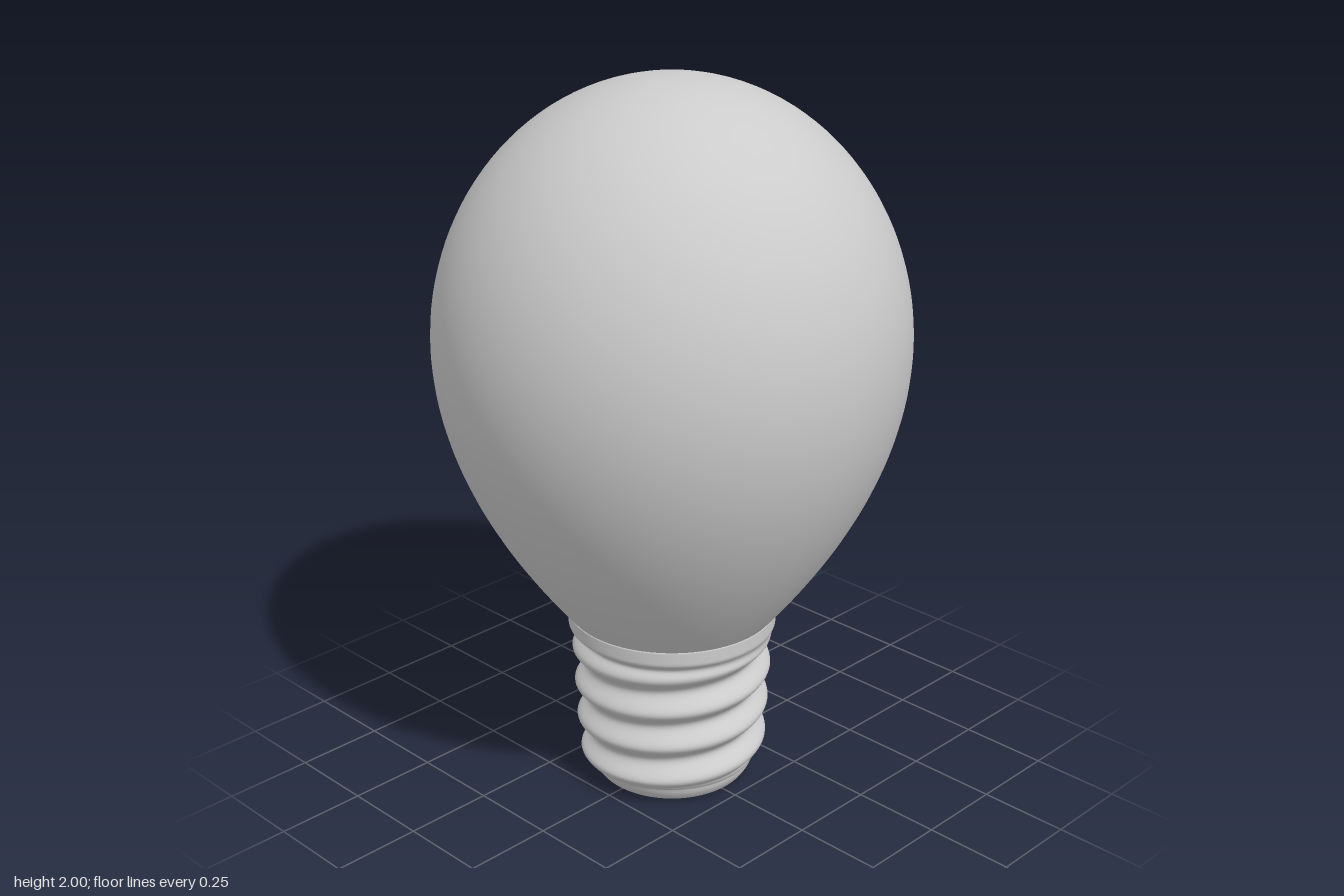
import * as THREE from 'three';
import { mergeVertices } from 'three/addons/utils/BufferGeometryUtils.js';

const V = (x, y) => new THREE.Vector2(x, y);
const material = new THREE.MeshStandardMaterial({ color: 0xcccccc, side: THREE.DoubleSide });

// Glass envelope: tapering neck blending into an elliptical dome
function bulbGeometry() {
  const neck = new THREE.CubicBezierCurve(V(0.29, 0.513), V(0.47, 0.73), V(0.635, 1.0), V(0.635, 1.3));
  const dome = new THREE.EllipseCurve(0, 1.3, 0.635, 0.7, 0, Math.PI / 2);
  const profile = [...neck.getPoints(28), ...dome.getPoints(32).slice(1)];
  profile[profile.length - 1].set(0, 2);
  return new THREE.LatheGeometry(profile, 96);
}

// Screw base: a slightly tapered sleeve whose wall is displaced by a right-handed helix
function screwGeometry() {
  const pitch = 0.109, crestY = 0.352, amplitude = 0.018;
  const end = new THREE.SplineCurve([V(0.19, 0.004), V(0.21, 0.01), V(0.225, 0.03), V(0.237, 0.055)]);
  const profile = [V(0, 0), V(0.1, 0.001), ...end.getPoints(10)];
  for (let i = 1; i <= 90; i++) {
    const t = i / 90, y = 0.055 + t * 0.458;
    const collar = THREE.MathUtils.smoothstep(y, 0.435, 0.475);
    profile.push(V(THREE.MathUtils.lerp(0.246 + 0.022 * t, 0.29, collar), y));
  }
  profile.push(V(0.25, 0.515));

  let geometry = new THREE.LatheGeometry(profile, 96);
  const p = geometry.attributes.position;
  for (let i = 0; i < p.count; i++) {
    const x = p.getX(i), y = p.getY(i), z = p.getZ(i), r = Math.hypot(x, z);
    const fade = THREE.MathUtils.smoothstep(y, 0.035, 0.09) * (1 - THREE.MathUtils.smoothstep(y, 0.43, 0.47));
    if (r < 0.01 || fade === 0) continue;
    const angle = Math.atan2(x, z) - Math.PI / 2;
    const k = 1 + amplitude * fade * Math.cos(2 * Math.PI * (y - crestY) / pitch - angle) / r;
    p.setXYZ(i, x * k, y, z * k);
  }
  // Weld the seam so the thread shades smoothly all round
  geometry.deleteAttribute('uv');
  geometry.deleteAttribute('normal');
  geometry = mergeVertices(geometry, 1e-5);
  geometry.computeVertexNormals();
  return geometry;
}

export function createModel() {
  const model = new THREE.Group();
  model.name = 'lightBulb';
  const parts = { glassBulb: bulbGeometry(), screwBase: screwGeometry() };
  for (const [name, geometry] of Object.entries(parts)) {
    const mesh = new THREE.Mesh(geometry, material);
    mesh.name = name;
    model.add(mesh);
  }
  return model;
}
